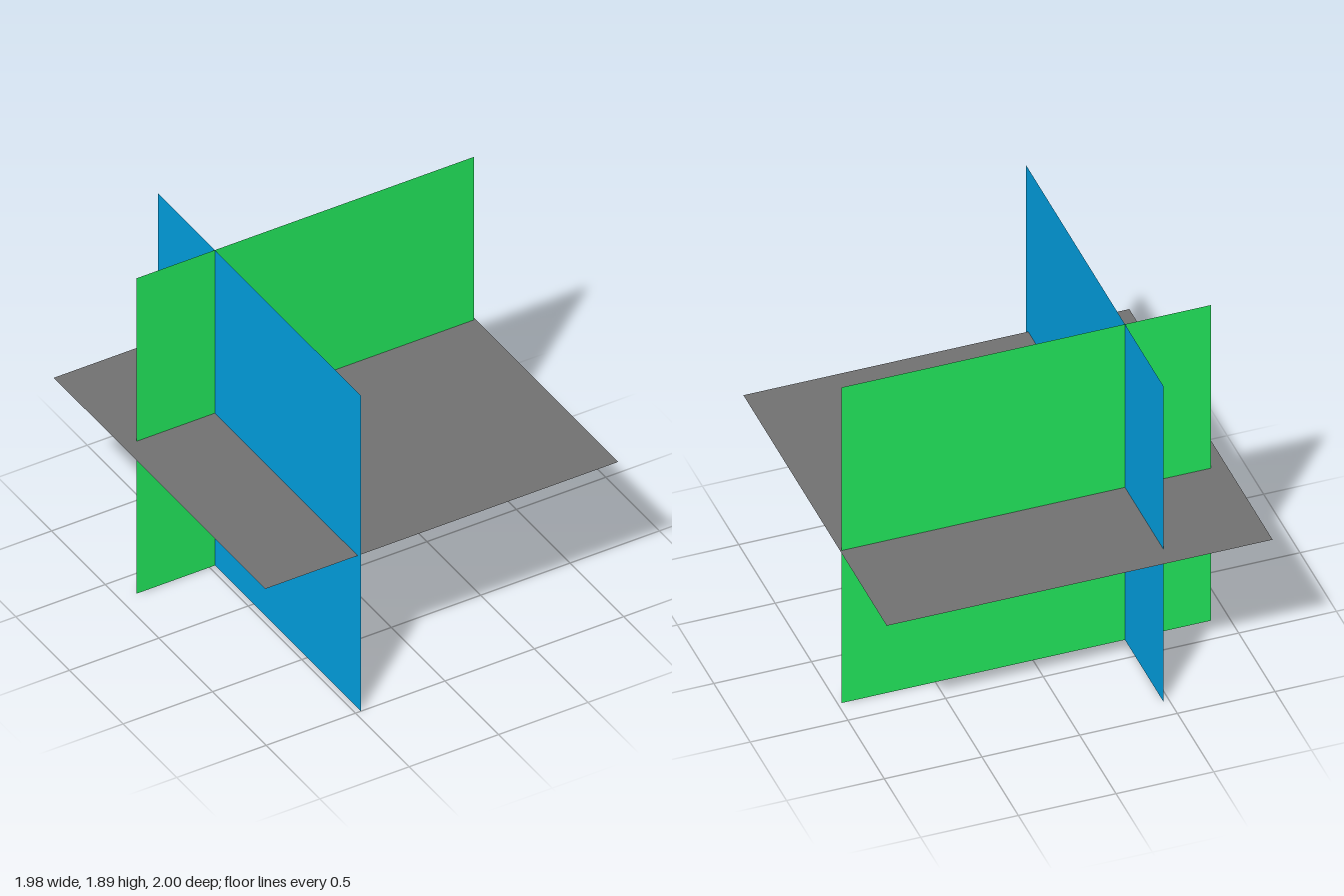
import * as THREE from 'three';

const GROUND_Y = 0.913;

function material(name, color, side = THREE.FrontSide) {
  const m = new THREE.MeshStandardMaterial({ color, side });
  m.name = name;
  return m;
}

export function createModel() {
  const model = new THREE.Group();
  model.name = 'crossedPlanesWithCreatures';

  const green = material('green', 0x22e75c, THREE.DoubleSide);
  const blue = material('blue', 0x00a3e5, THREE.DoubleSide);
  const grey = material('grey', 0x727272, THREE.DoubleSide);
  const stone = material('stone', 0x6b6868);
  stone.flatShading = true;

  const add = (parent, name, geometry, mat, x, y, z) => {
    const mesh = new THREE.Mesh(geometry, mat);
    mesh.name = name;
    mesh.position.set(x, y, z);
    parent.add(mesh);
    return mesh;
  };

  // Three crossing sheets
  add(model, 'frontSheet', new THREE.PlaneGeometry(1.89, 1.89), green, 0.035, 0.945, -0.36);
  add(model, 'sideSheet', new THREE.PlaneGeometry(1.89, 1.89).rotateY(Math.PI / 2), blue, -0.47, 0.945, 0.055);
  add(model, 'groundSheet', new THREE.PlaneGeometry(1.975, 1.97).rotateX(-Math.PI / 2), grey, 0, GROUND_Y, -0.015);

  const up = new THREE.Vector3(0, 1, 0);
  const ball = new THREE.IcosahedronGeometry(1, 1);

  // Eight-sided shell with a flat top, one unit in radius
  const shell = new THREE.LatheGeometry(
    [[0, -1], [0.65, -1], [1, -0.2], [0.9, 0.5], [0.55, 1], [0, 1]].map(([r, y]) => new THREE.Vector2(r, y)), 8);

  // Tapered limb from the body to a foot
  function limb(parent, name, from, to, r) {
    const dir = to.clone().sub(from);
    const mid = from.clone().add(to).multiplyScalar(0.5);
    const mesh = add(parent, name, new THREE.CylinderGeometry(r * 0.9, r * 1.2, dir.length(), 7), stone, mid.x, mid.y, mid.z);
    mesh.quaternion.setFromUnitVectors(up, dir.normalize());
  }

  // Centre, body radii, then the feet and the bumps as offsets from the centre
  const creatures = [
    {
      at: [-0.225, 0.978, -0.045], size: [0.066, 0.038, 0.056],
      feet: [[-0.078, -0.035, -0.012], [-0.005, -0.04, 0.076], [0.045, -0.049, 0.03], [-0.035, -0.049, -0.04]],
      bumps: [[-0.04, 0.026, 0.012], [0.02, 0.026, 0.025]],
    },
    {
      at: [-0.105, 0.985, -0.015], size: [0.06, 0.04, 0.06],
      feet: [[0.018, -0.056, 0.06], [0.042, -0.056, 0.015], [-0.035, -0.056, 0.035], [0.018, -0.056, -0.05]],
      bumps: [[0.045, 0.014, 0.005], [0.028, 0.022, -0.058], [-0.01, 0.035, 0.02]],
    },
    {
      at: [-0.165, 0.983, -0.125], size: [0.06, 0.038, 0.05],
      feet: [[-0.062, -0.045, -0.05], [0.055, -0.052, -0.052], [0.045, -0.054, 0.02], [-0.04, -0.054, 0.025]],
      bumps: [[-0.055, 0.025, -0.04], [0.005, 0.03, -0.055], [0.05, 0.03, -0.045]],
    },
  ];

  creatures.forEach(({ at, size, feet, bumps }) => {
    const creature = new THREE.Group();
    creature.name = 'creature';
    creature.position.set(...at);
    model.add(creature);

    // Faceted body
    add(creature, 'body', shell, stone, 0, 0, 0).scale.set(...size);

    // Legs with flattened feet
    feet.forEach((f) => {
      const foot = new THREE.Vector3(...f);
      limb(creature, 'leg', new THREE.Vector3(f[0] * 0.4, -0.008, f[2] * 0.4), foot, 0.015);
      add(creature, 'foot', ball, stone, ...f).scale.set(0.02, 0.015, 0.02);
    });

    // Rounded bumps on the back
    bumps.forEach((b) => {
      add(creature, 'bump', ball, stone, ...b).scale.set(0.02, 0.016, 0.018);
    });
  });

  return model;
}
